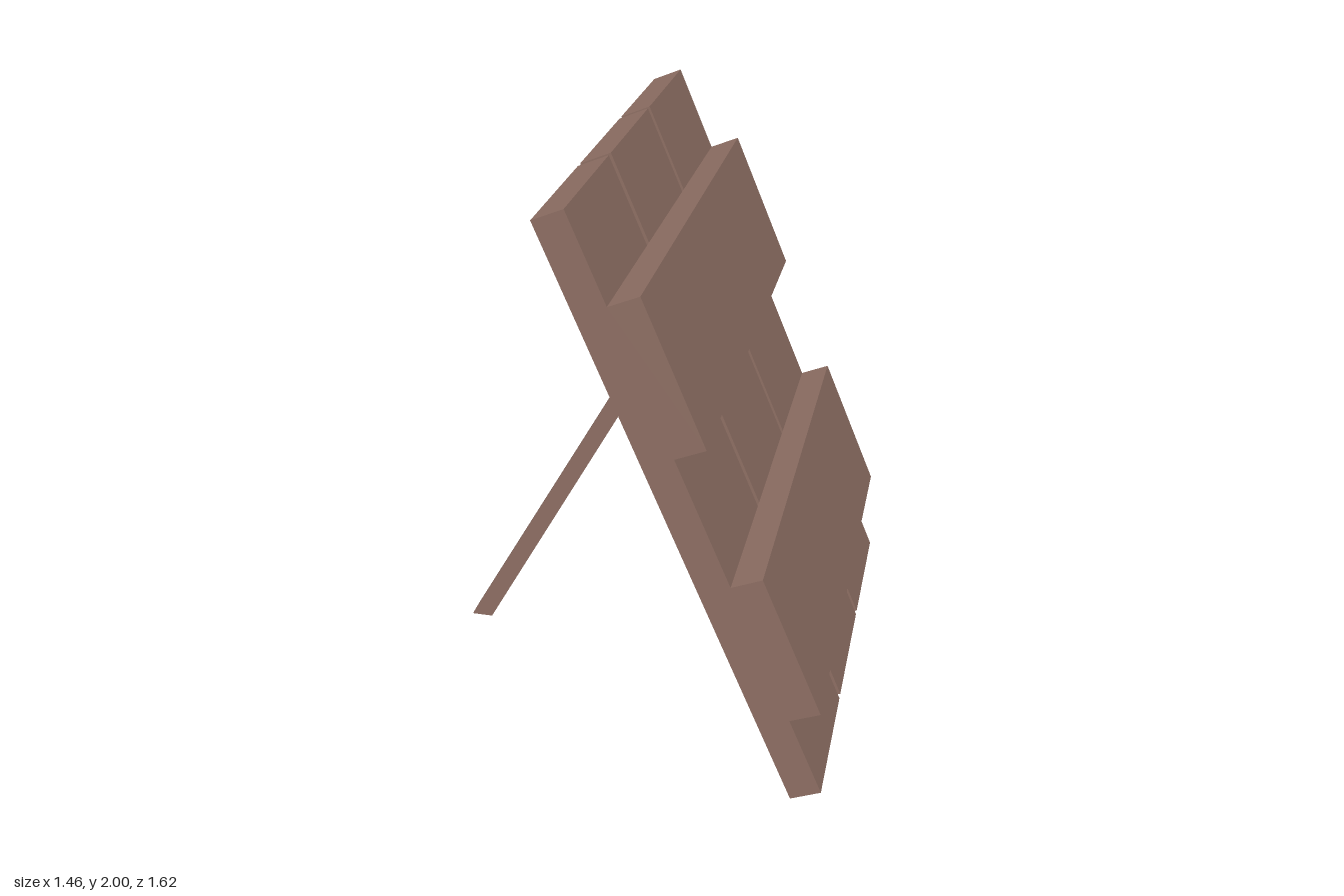
import * as THREE from 'three';

const wood = new THREE.MeshStandardMaterial({ color: 0x8d6e63, flatShading: true });

// Extrudes an outline in the xy plane between two z values
function board(name, points, z0, z1) {
  const shape = new THREE.Shape(points.map(([x, y]) => new THREE.Vector2(x, y)));
  const geometry = new THREE.ExtrudeGeometry(shape, { depth: z1 - z0, bevelEnabled: false });
  geometry.translate(0, 0, z0);
  const mesh = new THREE.Mesh(geometry, wood);
  mesh.name = name;
  return mesh;
}

export function createModel() {
  const group = new THREE.Group();
  group.name = 'leaningWoodenSign';

  // Three long planks leaning back, with narrow gaps between them
  const plank = [[-0.195, 1.958], [0.63, 0], [0.731, 0.043], [-0.094, 2]];
  [[-0.81, -0.288], [-0.263, 0.26], [0.287, 0.81]].forEach(([z0, z1], i) =>
    group.add(board(`plank${i + 1}`, plank, z0, z1)));

  // Two cross boards lying on the planks' outer face
  const crossBoard = [[0.028, 1.709], [0.23, 1.228], [0.331, 1.27], [0.129, 1.751]];
  [['upperCrossBoard', 0, 0], ['lowerCrossBoard', 0.385, -0.913]].forEach(([name, dx, dy]) =>
    group.add(board(name, crossBoard.map(([x, y]) => [x + dx, y + dy]), -0.81, 0.81)));

  // Prop leg behind, cut level at the foot and along the planks at the top
  const leg = [[-0.733, 0.028], [-0.655, 0.028], [0.071, 1.327], [0.042, 1.395]];
  group.add(board('propLeg', leg, -0.038, 0.035));

  return group;
}
